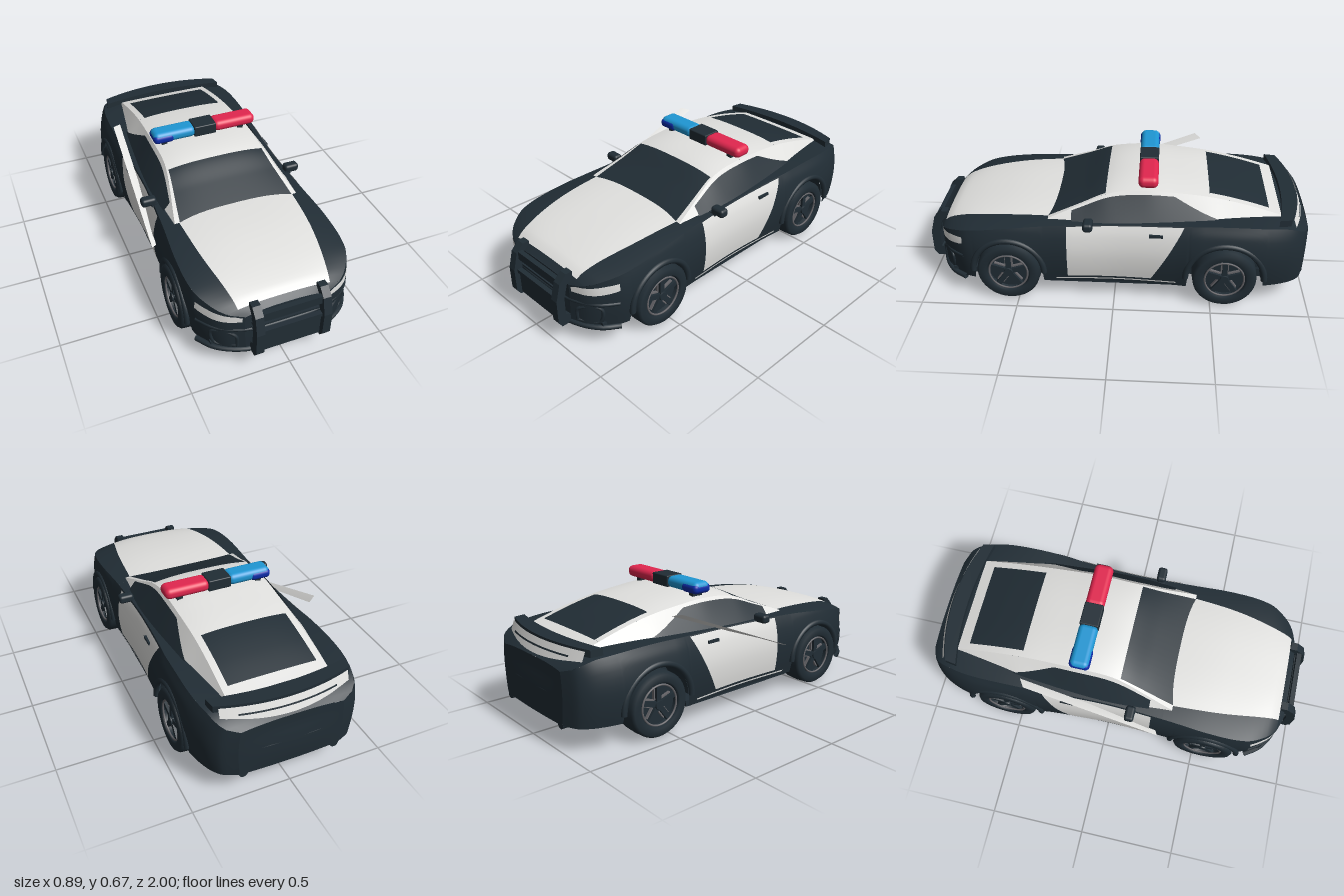
import * as THREE from 'three';
import { RoundedBoxGeometry } from 'three/addons/geometries/RoundedBoxGeometry.js';

const paint = (name, color) => Object.assign(new THREE.MeshStandardMaterial({ color, side: THREE.DoubleSide }), { name });
const lerp = THREE.MathUtils.lerp;

// Smooth interpolation through [z, value] pairs in rising z
function curve(p) {
  const slope = i => {
    const a = p[Math.max(i - 1, 0)], b = p[Math.min(i + 1, p.length - 1)];
    return (b[1] - a[1]) / (b[0] - a[0]);
  };
  return z => {
    if (z <= p[0][0]) return p[0][1];
    for (let i = 0; i < p.length - 1; i++) {
      const [a, va] = p[i], [b, vb] = p[i + 1];
      if (z > b) continue;
      const h = b - a, t = (z - a) / h, t2 = t * t, t3 = t2 * t;
      return (2 * t3 - 3 * t2 + 1) * va + (t3 - 2 * t2 + t) * h * slope(i)
        + (3 * t2 - 2 * t3) * vb + (t3 - t2) * h * slope(i + 1);
    }
    return p[p.length - 1][1];
  };
}

// Body lines along the length
const REAR = -0.985, NOSE = 0.93, WHEEL_R = 0.165;
const AXLES = [{ end: 'Front', z: 0.545, arch: 0.176, flareX: 0.42 }, { end: 'Rear', z: -0.565, arch: 0.192, flareX: 0.428 }];
const width = curve([[-0.985, 0.27], [-0.95, 0.35], [-0.85, 0.41], [-0.7, 0.44], [-0.45, 0.44], [-0.3, 0.425], [0, 0.41],
  [0.3, 0.42], [0.55, 0.43], [0.75, 0.41], [0.85, 0.35], [0.9, 0.29], [0.93, 0.21]]);
const bulge = curve([[0.1, 0.95], [0.2, 0.99], [0.3, 1], [0.4, 0.96], [0.46, 0.9]]);
const shoulder = curve([[-0.985, 0.385], [-0.93, 0.42], [-0.85, 0.445], [-0.6, 0.46], [-0.3, 0.45], [0.3, 0.432],
  [0.5, 0.42], [0.75, 0.39], [0.86, 0.358], [0.93, 0.322]]);
const crown = curve([[-0.985, 0.4], [-0.9, 0.445], [-0.84, 0.46], [-0.5, 0.46], [0.34, 0.457], [0.6, 0.44], [0.86, 0.39], [0.93, 0.345]]);
const hoodHalf = curve([[0.3, 0.315], [0.6, 0.29], [0.9, 0.235]]);
const roofY = curve([[-0.84, 0.465], [-0.65, 0.525], [-0.48, 0.566], [-0.3, 0.591], [-0.15, 0.602], [0.03, 0.582], [0.18, 0.515], [0.34, 0.445]]);
const railX = curve([[-0.84, 0.265], [-0.48, 0.262], [-0.2, 0.268], [0.03, 0.272], [0.34, 0.335]]);
const beltX = curve([[-0.84, 0.28], [-0.6, 0.315], [-0.45, 0.34], [0, 0.368], [0.34, 0.35]]);

const sideX = (z, y) => width(z) * bulge(y);
const lowerY = z => {
  const axle = AXLES.find(a => Math.abs(z - a.z) < a.arch);
  return axle ? WHEEL_R + Math.sqrt(axle.arch ** 2 - (z - axle.z) ** 2) : z < -0.6 ? 0.125 : 0.1;
};
const railY = z => lerp(shoulder(z), roofY(z), 0.86);
const topPoint = (z, u) => [u * sideX(z, shoulder(z)), lerp(crown(z), shoulder(z), Math.abs(u) ** 2.8), z];
const roofPoint = (z, u) => [u * railX(z), lerp(roofY(z), railY(z), Math.abs(u) ** 2.8), z];
const cabinSide = (z, v, s, e = 0) => [s * (lerp(beltX(z), railX(z), v) + e), lerp(shoulder(z) - 0.01, railY(z), v) + e * 0.5, z];
const endPoint = (z, u, v) => {
  const y = lerp(lowerY(z), lerp(crown(z), shoulder(z), Math.abs(u) ** 2.8), v);
  return [u * sideX(z, y), y, z + Math.sign(z) * 0.014 * (1 - u * u) * Math.sin(Math.PI * Math.min(v + 0.2, 1) * 0.9)];
};

export function createModel() {
  const car = new THREE.Group();
  car.name = 'patrolCar';
  const dark = paint('charcoal', 0x212d35), white = paint('white', 0xe2e2e0), steel = paint('steel', 0x68676b),
    red = paint('red', 0xe2274f), blue = paint('blue', 0x1f97d4), deep = paint('deepBlue', 0x0c2ca8);

  const add = (name, geo, mat, x = 0, y = 0, z = 0, parent = car) => {
    const m = new THREE.Mesh(geo, mat);
    m.name = name;
    m.position.set(x, y, z);
    parent.add(m);
    return m;
  };
  const box = (name, mat, w, h, d, x, y, z, parent) => add(name, new THREE.BoxGeometry(w, h, d), mat, x, y, z, parent);
  const tube = (name, pts, r) => add(name, new THREE.TubeGeometry(
    new THREE.CatmullRomCurve3(pts.map(p => new THREE.Vector3(...p))), 32, r, 8), dark);
  // Grid surface from a rule f(u, v) with u and v from 0 to 1
  const patch = (name, mat, nu, nv, f) => {
    const pos = [], idx = [];
    for (let i = 0; i <= nu; i++) for (let j = 0; j <= nv; j++) {
      pos.push(...f(i / nu, j / nv));
      const a = i * (nv + 1) + j, b = a + nv + 1;
      if (i < nu && j < nv) idx.push(a, b, a + 1, b, b + 1, a + 1);
    }
    const g = new THREE.BufferGeometry();
    g.setAttribute('position', new THREE.Float32BufferAttribute(pos, 3));
    g.setIndex(idx);
    g.computeVertexNormals();
    return add(name, g, mat);
  };
  // Strip over a top or roof rule, between z0 and z1 and between two u edges
  const strip = (name, mat, rule, z0, z1, ua, ub, n = 24) => patch(name, mat, n, 16, (u, v) => {
    const z = lerp(z0, z1, u);
    return rule(z, lerp(ua(z), ub(z), v));
  });
  const k = c => () => c;

  // Hood, nose and tail top
  const hoodEdge = z => Math.min(hoodHalf(z) / sideX(z, shoulder(z)), 0.97);
  strip('hood', white, topPoint, 0.3, 0.9, z => -hoodEdge(z), hoodEdge);
  strip('noseTop', dark, topPoint, 0.9, NOSE, k(-1), k(1), 6);
  strip('beltDeck', dark, topPoint, REAR, 0.3, k(-1), k(1), 50);
  // Front and rear faces
  for (const [name, z] of [['noseFace', NOSE], ['tailFace', REAR]])
    patch(name, dark, 24, 10, (u, v) => endPoint(z, u * 2 - 1, v));

  // Cabin top
  const pillar = z => lerp(0.97, 0.92, z > 0 ? z / 0.34 : 0);
  strip('windshield', dark, roofPoint, 0.34, 0.05, z => -pillar(z), pillar);
  strip('roof', white, roofPoint, 0.05, -0.475, k(-1), k(1));
  strip('rearWindow', dark, roofPoint, -0.475, -0.78, k(-0.87), k(0.87));
  strip('rearDeck', white, roofPoint, -0.78, -0.84, k(-1), k(1), 4);

  for (const s of [1, -1]) {
    const tag = s > 0 ? 'left' : 'right';
    const sidePatch = (name, mat, n, m, zy, e = 0.004) => patch(tag + name, mat, n, m, (u, v) => {
      const [z, y] = zy(u, v);
      return [s * (sideX(z, y) + e), y, z];
    });
    sidePatch('BodySide', dark, 200, 10, (u, v) => {
      const z = lerp(REAR, NOSE, u);
      return [z, lerp(lowerY(z), shoulder(z), v)];
    }, 0);
    strip(tag + 'Fender', dark, topPoint, 0.3, 0.9, z => s * hoodEdge(z), k(s));
    sidePatch('Door', white, 16, 10, (u, v) => {
      const z = lerp(0.24, lerp(-0.19, -0.35, v), u);
      return [z, lerp(0.14, shoulder(z) - 0.004, v)];
    });
    sidePatch('SillStripe', white, 16, 1, (u, v) => [lerp(0.3, -0.32, u), lerp(0.12, 0.128, v)]);
    sidePatch('Headlight', white, 14, 3, (u, v) => [lerp(0.927, 0.78, u),
      lerp(lerp(0.29, 0.312, u * u), lerp(0.315, 0.348, Math.sqrt(u)), v)]);
    box(tag + 'DoorHandle', dark, 0.02, 0.014, 0.07, s * 0.405, 0.4, -0.21);

    // Cabin side, pillars and side windows
    patch(tag + 'CabinSide', white, 50, 6, (u, v) => cabinSide(lerp(-0.84, 0.34, u), v, s));
    patch(tag + 'SideWindow', dark, 30, 6, (u, v) => {
      const z = lerp(0.22, -0.52, u), top = z < -0.3 ? lerp(0.88, 0.1, (-0.3 - z) / 0.22) : 0.88;
      return cabinSide(z, lerp(0.06, top, v), s, 0.005);
    });
    strip(tag + 'FrontPillar', white, roofPoint, 0.34, 0.05, z => s * pillar(z), k(s));
    strip(tag + 'RearPillar', white, roofPoint, -0.475, -0.78, k(s * 0.87), k(s));

    // Mirror
    add(tag + 'Mirror', new RoundedBoxGeometry(0.08, 0.045, 0.05, 3, 0.015), dark, s * 0.405, 0.452, 0.13);
    box(tag + 'MirrorStem', dark, 0.06, 0.016, 0.03, s * 0.365, 0.434, 0.14);
    // Bumper intake frame, exhaust tip, bar mount
    tube(tag + 'IntakeFrame', [[s * 0.24, 0.13, 0.915], [s * 0.33, 0.13, 0.855], [s * 0.345, 0.21, 0.85], [s * 0.25, 0.2, 0.915], [s * 0.24, 0.13, 0.915]], 0.009);
    add(tag + 'Exhaust', new THREE.CylinderGeometry(0.022, 0.022, 0.08, 16).rotateX(Math.PI / 2), dark, s * 0.24, 0.125, -0.945);
    box(tag + 'BarMount', dark, 0.03, 0.035, 0.06, s * 0.22, 0.592, -0.165);

    // Wheels with flared arches
    for (const { end, z, arch, flareX } of AXLES) {
      const wheel = new THREE.Group();
      wheel.name = tag + end + 'Wheel';
      wheel.position.set(s * 0.37, WHEEL_R, z);
      wheel.rotation.y = s > 0 ? 0 : Math.PI;
      car.add(wheel);
      const profile = [[0.11, -0.07], [0.15, -0.07], [0.162, -0.055], [0.165, 0], [0.162, 0.055], [0.15, 0.07], [0.115, 0.07], [0.108, 0.06], [0.105, 0.02]];
      add('tire', new THREE.LatheGeometry(profile.map(p => new THREE.Vector2(...p)), 40).rotateZ(-Math.PI / 2), dark, 0, 0, 0, wheel);
      add('rimDisc', new THREE.CylinderGeometry(0.11, 0.11, 0.06, 32).rotateZ(Math.PI / 2), dark, 0, 0, 0, wheel);
      add('rimRing', new THREE.TorusGeometry(0.1, 0.005, 6, 40).rotateY(Math.PI / 2), steel, 0.06, 0, 0, wheel);
      add('hub', new THREE.CylinderGeometry(0.022, 0.028, 0.03, 16).rotateZ(-Math.PI / 2), dark, 0.05, 0, 0, wheel);
      for (let j = 0; j < 5; j++) {
        const spoke = new THREE.Group();
        spoke.name = 'spoke';
        spoke.rotation.x = j * Math.PI * 0.4;
        wheel.add(spoke);
        box('spokeFace', dark, 0.02, 0.085, 0.026, 0.048, 0.06, 0, spoke);
        box('spokeBase', steel, 0.02, 0.06, 0.04, 0.034, 0.055, 0, spoke);
      }
      const flare = add(tag + end + 'Arch', new THREE.TorusGeometry(arch + 0.008, 0.016, 8, 32, Math.PI).rotateY(Math.PI / 2), dark, s * flareX, WHEEL_R, z);
      flare.scale.x = 0.9;
    }
  }

  // Wheel tunnels, inner housings, floor
  for (const { end, z, arch } of AXLES) {
    add('wheelTunnel' + end, new THREE.CylinderGeometry(arch, arch, 0.82, 32, 1, true, 0, Math.PI).rotateZ(Math.PI / 2), dark, 0, WHEEL_R, z);
    const top = end === 'Front' ? 0.35 : 0.322;
    box('wheelHousing' + end, dark, 0.56, top - 0.1, 0.42, 0, (top + 0.1) / 2, z);
  }
  box('floor', dark, 0.58, 0.05, 1.74, 0, 0.115, 0);
  box('frontPan', dark, 0.58, 0.045, 0.24, 0, 0.088, 0.28);
  box('middleFloor', dark, 0.78, 0.03, 0.72, 0, 0.105, -0.01);
  box('rearFloor', dark, 0.74, 0.03, 0.13, 0, 0.138, -0.825);
  box('rearValance', dark, 0.53, 0.03, 0.1, 0, 0.142, -0.93);
  box('frontFloor', dark, 0.7, 0.03, 0.13, 0, 0.115, 0.79);

  // Bumper edges and grille slats
  const bow = (name, y, e, sign, r) => tube(name, [[-0.395, y, sign * 0.78], [-0.335, y, sign * (0.86 + e / 2)], [-0.21, y, sign * (0.925 + e)],
    [0, y, sign * (0.94 + e)], [0.21, y, sign * (0.925 + e)], [0.335, y, sign * (0.86 + e / 2)], [0.395, y, sign * 0.78]], r);
  bow('frontLip', 0.102, 0, 1, 0.014);
  bow('frontBumperEdge', 0.235, -0.002, 1, 0.01);
  bow('rearBumperEdge', 0.26, 0.045, -1, 0.012);
  for (let i = 0; i < 3; i++) box('grilleSlat', dark, 0.36, 0.01, 0.02, 0, 0.255 + i * 0.025, 0.937);

  // Push bar
  const bar = new THREE.Shape([[0.91, 0.1], [0.98, 0.1], [1, 0.13], [1, 0.25], [0.975, 0.34], [0.935, 0.38], [0.9, 0.38],
    [0.9, 0.35], [0.935, 0.32], [0.955, 0.25], [0.955, 0.16], [0.91, 0.14]].map(p => new THREE.Vector2(...p)));
  for (const x of [-0.16, 0.183])
    add('pushBarUpright', new THREE.ExtrudeGeometry(bar, { depth: 0.042, bevelEnabled: false }).rotateY(-Math.PI / 2), dark, x + 0.021);
  box('pushBarTop', dark, 0.32, 0.045, 0.025, 0.01, 0.325, 0.955);
  box('pushBarMiddle', dark, 0.32, 0.02, 0.025, 0.01, 0.24, 0.97);
  box('pushBarPlate', dark, 0.32, 0.12, 0.015, 0.01, 0.17, 0.965);

  // Spoiler, with the pale tail panel below its rear edge
  const wing = new THREE.Shape();
  wing.moveTo(-0.36, -0.82);
  wing.quadraticCurveTo(0, -0.9, 0.36, -0.82);
  wing.lineTo(0.35, -0.88);
  wing.quadraticCurveTo(0, -1.0, -0.35, -0.88);
  add('spoiler', new THREE.ExtrudeGeometry(wing, { depth: 0.035, bevelEnabled: false, curveSegments: 20 }).rotateX(Math.PI / 2), dark, 0, 0.483, 0);
  const tailBand = (name, mat, half, y0, y1, e) => patch(name, mat, 24, 1, (u, v) => {
    const x = lerp(-half, half, u), y = lerp(y0, y1, v);
    return [x, y, -0.947 - e - (0.475 - y) * 0.4 + 0.06 * (x / 0.35) ** 2];
  });
  tailBand('tailPanel', white, 0.33, 0.405, 0.475, 0);
  tailBand('tailSlot', dark, 0.25, 0.438, 0.446, 0.003);

  // Loose leaning panel beside the right door
  const panel = [[[-0.38, 0.565, -0.45], [-0.425, 0.575, -0.42]], [[-0.405, 0.28, 0.27], [-0.445, 0.28, 0.29]]];
  patch('loosePanel', white, 1, 1, (u, v) => panel[u][v]);

  // Light bar
  const lamp = (name, mat, x0, x1, r) => add(name, new RoundedBoxGeometry(x1 - x0, 0.06, 0.1, 4, r), mat, (x0 + x1) / 2, 0.635, -0.165);
  lamp('blueLamp', blue, -0.28, -0.045, 0.027);
  lamp('redLamp', red, 0.06, 0.3, 0.027);
  lamp('lampCentre', dark, -0.055, 0.07, 0.006);
  add('blueLampBase', new RoundedBoxGeometry(0.115, 0.05, 0.108, 4, 0.022), deep, -0.224, 0.63, -0.165);
  return car;
}
